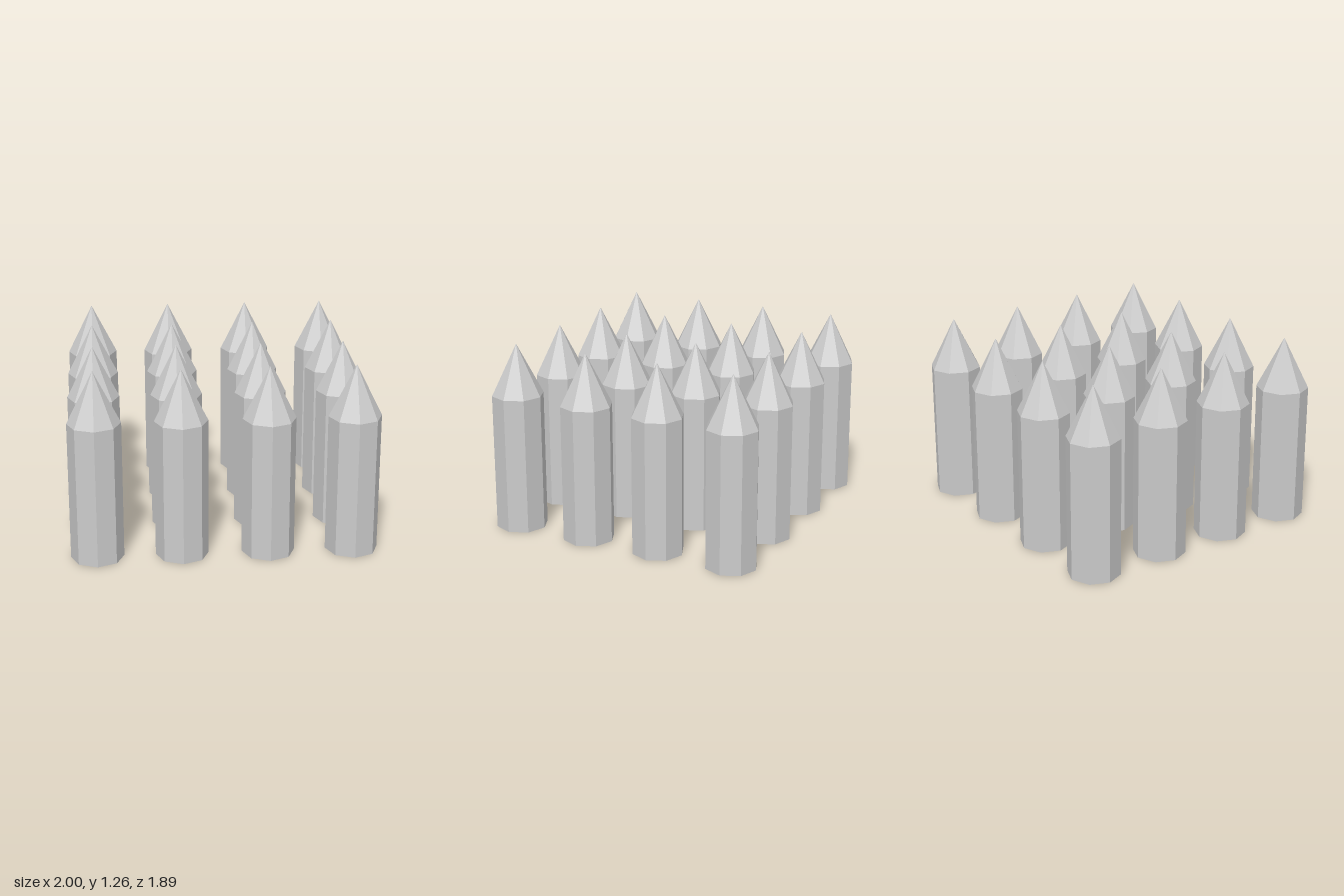
import * as THREE from 'three';

const RADIUS = 0.172, SHOULDER = 0.915, HEIGHT = 1.256, SIDES = 8;
const COLUMNS = [-0.828, -0.28, 0.28, 0.828];
const ROWS = [-0.773, -0.256, 0.256, 0.773];

export function createModel() {
  const model = new THREE.Group();
  model.name = 'spikeGrid';
  const material = new THREE.MeshStandardMaterial({
    color: 0xcccccc, flatShading: true, side: THREE.DoubleSide,
  });

  // Octagonal shaft, open at the foot, and its pointed tip
  const shaftGeometry = new THREE.CylinderGeometry(RADIUS, RADIUS, SHOULDER, SIDES, 1, true);
  shaftGeometry.translate(0, SHOULDER / 2, 0);
  const tipHeight = HEIGHT - SHOULDER;
  const tipGeometry = new THREE.ConeGeometry(RADIUS, tipHeight, SIDES, 1, true);
  tipGeometry.translate(0, SHOULDER + tipHeight / 2, 0);

  // Four by four grid of spikes
  for (const z of ROWS) {
    for (const x of COLUMNS) {
      const spike = new THREE.Group();
      spike.name = 'spike';
      const shaft = new THREE.Mesh(shaftGeometry, material);
      shaft.name = 'shaft';
      const tip = new THREE.Mesh(tipGeometry, material);
      tip.name = 'tip';
      spike.add(shaft, tip);
      spike.position.set(x, 0, z);
      model.add(spike);
    }
  }
  return model;
}
